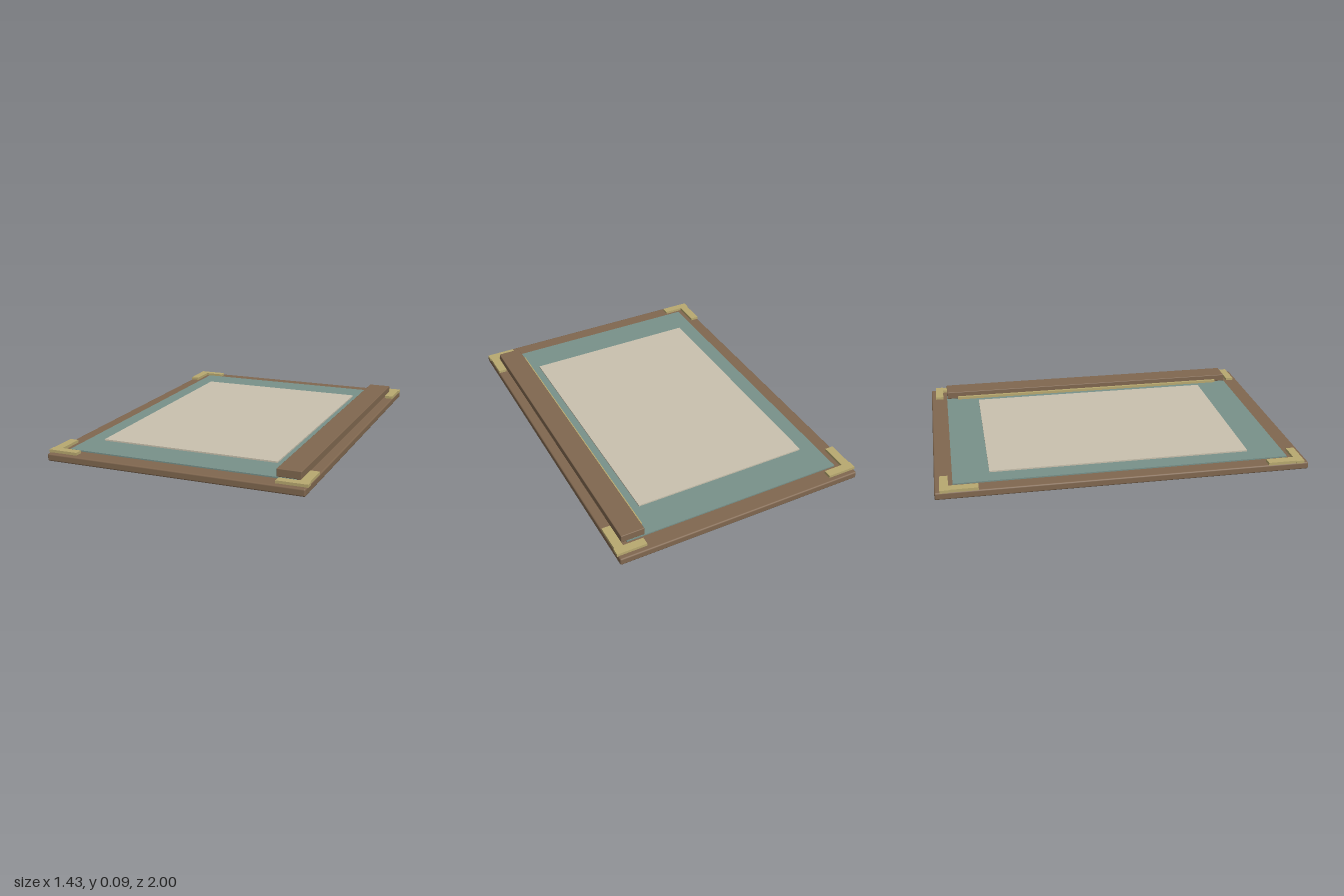
import * as THREE from 'three';
import { RoundedBoxGeometry } from 'three/addons/geometries/RoundedBoxGeometry.js';

const material = (name, color) => {
  const m = new THREE.MeshStandardMaterial({ color });
  m.name = name;
  return m;
};

export function createModel() {
  const board = new THREE.Group();
  board.name = 'drawingBoard';

  const wood = material('brown wood', 0x80674f);
  const felt = material('teal felt', 0x78918a);
  const paper = material('cream paper', 0xc9c1ae);
  const brass = material('pale brass', 0xb8a970);

  // Box given by its limits on each axis, with optional rounded edges
  const slab = (parent, name, mat, [x0, x1], [y0, y1], [z0, z1], radius = 0) => {
    const size = [x1 - x0, y1 - y0, z1 - z0];
    const geometry = radius
      ? new RoundedBoxGeometry(...size, 2, radius)
      : new THREE.BoxGeometry(...size);
    const mesh = new THREE.Mesh(geometry, mat);
    mesh.name = name;
    mesh.position.set((x0 + x1) / 2, (y0 + y1) / 2, (z0 + z1) / 2);
    parent.add(mesh);
  };

  // Wooden base, felt surface and sheet
  slab(board, 'base', wood, [-0.71, 0.71], [0, 0.04], [-1, 1], 0.008);
  slab(board, 'feltSurface', felt, [-0.63, 0.63], [0.038, 0.047], [-0.905, 0.905]);
  slab(board, 'paperSheet', paper, [-0.535, 0.467], [0.047, 0.055], [-0.71, 0.71]);

  // Raised side rail with its brass edge strip
  slab(board, 'sideRail', wood, [0.53, 0.66], [0.047, 0.09], [-0.903, 0.903], 0.004);
  slab(board, 'railEdgeStrip', brass, [0.513, 0.532], [0.047, 0.062], [-0.838, 0.838]);

  // L-shaped brass brackets on the four corners
  const span = (sign, a, b) => (sign > 0 ? [a, b] : [-b, -a]);
  for (const sx of [-1, 1]) {
    for (const sz of [-1, 1]) {
      const bracket = new THREE.Group();
      bracket.name = `${sz > 0 ? 'front' : 'back'}${sx > 0 ? 'Left' : 'Right'}Bracket`;
      slab(bracket, 'crossArm', brass, span(sx, 0.55, 0.715), [0.039, 0.055], span(sz, 0.928, 0.973));
      slab(bracket, 'sideArm', brass, span(sx, 0.662, 0.71), [0.039, 0.055], span(sz, 0.775, 0.928));
      board.add(bracket);
    }
  }
  return board;
}
